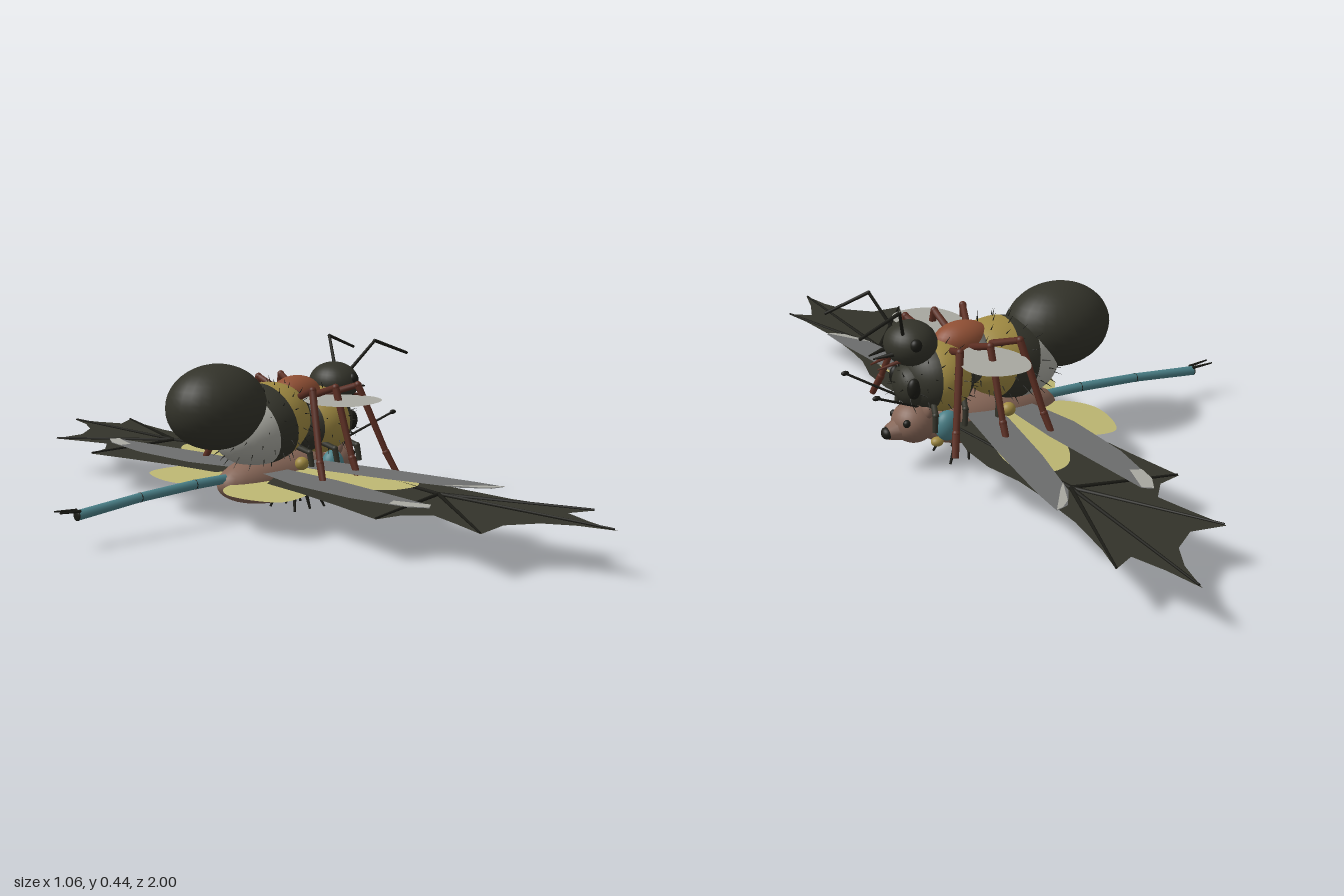
import * as THREE from 'three';

const mat = (name, color, double) => {
  const m = new THREE.MeshStandardMaterial({ color });
  m.name = name;
  if (double) m.side = THREE.DoubleSide;
  return m;
};

export function createModel() {
  const root = new THREE.Group();
  root.name = 'flyingCreatures';
  const dark = mat('dark olive', 0x33332a, true);
  const black = mat('black', 0x1a1a15);
  const gold = mat('gold', 0xa08a42);
  const cream = mat('pale yellow', 0xbdb672, true);
  const legBrown = mat('leg brown', 0x5c2e22);
  const rust = mat('rust', 0x8f4f34);
  const tan = mat('tan fur', 0x866657);
  const teal = mat('teal', 0x4b8189);
  const grey = mat('wing grey', 0x6c6d6d, true);
  const light = mat('light grey', 0xa9a9a1, true);

  const V = (p) => new THREE.Vector3(...p);
  const add = (name, geo, m) => {
    const mesh = new THREE.Mesh(geo, m);
    mesh.name = name;
    root.add(mesh);
    return mesh;
  };
  const ball = (name, p, r, m) => {
    const b = add(name, new THREE.SphereGeometry(1, 28, 20), m);
    b.position.set(...p);
    b.scale.set(...r);
    return b;
  };
  const rod = (name, a, b, r0, r1, m) => {
    const d = V(b).sub(V(a));
    const c = add(name, new THREE.CylinderGeometry(r1, r0, d.length(), 8), m);
    c.position.copy(V(a)).addScaledVector(d, 0.5);
    c.quaternion.setFromUnitVectors(new THREE.Vector3(0, 1, 0), d.normalize());
    return c;
  };
  const chain = (name, pts, r, m) => {
    for (let i = 1; i < pts.length; i++) {
      rod(name, pts[i - 1], pts[i], r, r * 0.85, m);
      if (i < pts.length - 1) ball(name + 'Joint', pts[i], [r, r, r], m);
    }
  };
  const flip = (p, s) => [p[0], p[1], p[2] * s];

  // All flat wings share a gentle slope from front to tail
  const wingY = (x, y) => y + 0.05 * (x - 0.2);
  const wing = (name, pts, y, s, m, rounded) => {
    let p = pts.map(([x, z]) => new THREE.Vector2(x, z));
    if (rounded) {
      const c = new THREE.CatmullRomCurve3(pts.map(([x, z]) => new THREE.Vector3(x, z, 0)), true);
      p = c.getPoints(40).slice(0, -1).map((q) => new THREE.Vector2(q.x, q.y));
    }
    const geo = new THREE.ShapeGeometry(new THREE.Shape(p));
    const pos = geo.attributes.position;
    for (let i = 0; i < pos.count; i++) {
      const x = pos.getX(i), z = pos.getY(i);
      pos.setXYZ(i, x, wingY(x, y), z * s);
    }
    geo.computeVertexNormals();
    add(name, geo, m);
  };

  // Ellipsoid cut into coloured bands along its long axis, with bristles
  const banded = (name, p, r, tilt, bands, hairs) => {
    const g = new THREE.Group();
    g.name = name;
    g.position.set(...p);
    g.rotation.z = tilt;
    let from = -1;
    for (const [to, m] of bands) {
      const t0 = Math.acos(-from), t1 = Math.acos(-to);
      const geo = new THREE.SphereGeometry(1, 32, 10, 0, Math.PI * 2, t0, t1 - t0);
      geo.rotateZ(Math.PI / 2);
      const mesh = new THREE.Mesh(geo, m);
      mesh.name = name + 'Band';
      mesh.scale.set(...r);
      g.add(mesh);
      from = to;
    }
    for (let i = 0; i < hairs; i++) {
      const x = 1 - (2 * (i + 0.5)) / hairs, q = Math.sqrt(1 - x * x), a = i * 2.39996;
      const u = new THREE.Vector3(x, q * Math.cos(a), q * Math.sin(a));
      const n = u.clone().divide(V(r)).normalize();
      const h = new THREE.Mesh(new THREE.ConeGeometry(0.0022, 0.03, 4), black);
      h.name = 'bristle';
      h.position.copy(u.multiply(V(r))).addScaledVector(n, 0.006);
      h.quaternion.setFromUnitVectors(new THREE.Vector3(0, 1, 0), n.add(new THREE.Vector3(-0.4, 0, 0)).normalize());
      g.add(h);
    }
    root.add(g);
  };

  // Ant on top
  ball('antAbdomen', [-0.05, 0.293, 0], [0.138, 0.107, 0.11], dark);
  ball('antWaist', [0.12, 0.295, 0], [0.045, 0.04, 0.03], rust);
  ball('antThorax', [0.22, 0.303, 0], [0.075, 0.046, 0.05], rust);
  ball('antHead', [0.357, 0.32, 0], [0.064, 0.054, 0.068], dark);

  // Bee in the middle
  banded('beeAbdomen', [0.1, 0.235, 0], [0.14, 0.102, 0.112], 0.25,
    [[-0.25, light], [0.18, dark], [0.7, gold], [1, dark]], 120);
  banded('beeThorax', [0.29, 0.228, 0], [0.09, 0.09, 0.105], 0.1,
    [[-0.55, dark], [0.35, gold], [1, dark]], 90);
  banded('beeHead', [0.36, 0.215, 0], [0.042, 0.052, 0.06], 0, [[1, dark]], 30);

  // Furry body underneath
  const body = ball('batBody', [0.155, 0.095, 0], [0.195, 0.068, 0.075], tan);
  body.rotation.z = 0.03;
  ball('batHead', [0.355, 0.116, 0], [0.055, 0.052, 0.056], tan);
  rod('batSnout', [0.375, 0.107, 0], [0.425, 0.1, 0], 0.038, 0.019, tan);
  ball('batNose', [0.427, 0.1, 0], [0.014, 0.015, 0.018], black);

  // Damselfly tail
  const tail = [[0.05, 0.012], [-0.12, 0.0125], [-0.29, 0.012], [-0.475, 0.013]];
  for (let i = 1; i < tail.length; i++) {
    const [x0, r0] = tail[i - 1], [x1, r1] = tail[i];
    const y = (x) => 0.108 - 0.12 * x * x + 0.002 * (x / 0.475);
    rod('tailSegment', [x0, y(x0), 0], [x1, y(x1), 0], r0, r1, teal);
    ball('tailJoint', [x1, y(x1), 0], [0.004, r1, r1], black);
  }

  const batWing = [[0.12, 0.04], [0.03, 0.1], [0.015, 0.23], [-0.015, 0.4], [-0.045, 0.545],
    [0.02, 0.565], [0.065, 0.62], [0.04, 0.71], [0.012, 0.8], [0.1, 0.79], [0.165, 0.84],
    [0.2, 0.91], [0.222, 1], [0.245, 0.91], [0.275, 0.83], [0.332, 0.862], [0.312, 0.78],
    [0.295, 0.65], [0.295, 0.5], [0.3, 0.42], [0.325, 0.32], [0.325, 0.22], [0.3, 0.1], [0.28, 0.04]];
  const foreWing = [[0.2, 0.04], [0.26, 0.22], [0.278, 0.36], [0.235, 0.415], [0.17, 0.405], [0.12, 0.34], [0.08, 0.2], [0.1, 0.05]];
  const hindWing = [[0.12, 0.03], [0.1, 0.2], [0.02, 0.25], [-0.06, 0.255], [-0.092, 0.2], [-0.1, 0.1], [-0.06, 0.04], [0, 0.02]];

  for (const s of [1, -1]) {
    // Wings, from the lowest layer to the highest
    wing('batWing', batWing, 0.112, s, dark);
    for (const [x, z] of [[0.222, 0.99], [0.015, 0.795], [-0.042, 0.543], [0.33, 0.86], [0.29, 0.05]])
      rod('wingFinger', [0.215, wingY(0.215, 0.114), 0.5 * s], [x, wingY(x, 0.114), z * s], 0.005, 0.0025, black);
    wing('butterflyForewing', foreWing, 0.118, s, cream, true);
    wing('butterflyHindwing', hindWing, 0.107, s, cream, true);
    wing('damselflyHindwing', [[0.13, 0.03], [0.125, 0.25], [0.088, 0.59], [0.065, 0.605], [0.04, 0.56], [0.017, 0.4], [0.022, 0.2], [0.06, 0.04]], 0.126, s, grey);
    wing('hindwingTip', [[0.088, 0.59], [0.065, 0.605], [0.04, 0.56], [0.033, 0.51], [0.06, 0.5]], 0.128, s, light);
    wing('damselflyForewing', [[0.17, 0.03], [0.16, 0.12], [0.2, 0.35], [0.245, 0.54], [0.285, 0.602], [0.32, 0.615], [0.315, 0.53], [0.285, 0.3], [0.24, 0.03]], 0.13, s, grey);
    wing('forewingTip', [[0.32, 0.615], [0.3, 0.608], [0.275, 0.585], [0.235, 0.5], [0.26, 0.53]], 0.132, s, light);
    wing('beeWing', [[0.21, 0.05], [0.15, 0.11], [0.14, 0.18], [0.17, 0.245], [0.225, 0.262], [0.285, 0.245], [0.31, 0.19], [0.28, 0.1]], 0.3, s, light, true);

    // Ant legs, face and feelers
    const legs = [[0.18, 0.14, 0.1], [0.22, 0.22, 0.222], [0.27, 0.3, 0.36]];
    for (const [hip, knee, foot] of legs)
      chain('antLeg', [[hip, 0.295, 0.04 * s], [knee, 0.332, 0.145 * s],
        [knee + (foot - knee) * 0.75, 0.16, 0.205 * s], [foot, 0.11, 0.228 * s]], 0.0095, legBrown);
    ball('antEye', [0.37, 0.333, 0.058 * s], [0.015, 0.016, 0.014], black);
    chain('antAntenna', [[0.39, 0.355, 0.03 * s], [0.422, 0.432, 0.085 * s], [0.53, 0.393, 0.1 * s]], 0.0045, black);
    rod('antMandible', [0.4, 0.31, 0.025 * s], [0.46, 0.302, 0.012 * s], 0.007, 0.002, black);
    rod('antLowerMandible', [0.39, 0.29, 0.025 * s], [0.453, 0.276, 0.02 * s], 0.006, 0.002, legBrown);

    // Bee legs and pollen loads
    for (const x of [0.16, 0.25, 0.33])
      chain('beeLeg', [[x, 0.18, 0.06 * s], [x + 0.015, 0.165, 0.1 * s], [x + 0.02, 0.125, 0.105 * s]], 0.008, dark);
    ball('pollen', [0.148, 0.14, 0.1 * s], [0.018, 0.017, 0.017], gold);
    ball('beeEye', [0.375, 0.222, 0.05 * s], [0.017, 0.026, 0.014], black);

    // Damselfly eyes and tail claspers
    ball('damselflyEye', [0.295, 0.115, 0.062 * s], [0.032, 0.038, 0.026], teal);
    ball('cheek', [0.315, 0.07, 0.045 * s], [0.016, 0.012, 0.014], gold);
    rod('clasper', [-0.47, 0.09, 0.007 * s], [-0.53, 0.094, 0.012 * s], 0.004, 0.002, black);

    // Small lower legs, eyes, ears and clubbed feelers
    ball('batEye', [0.39, 0.13, 0.037 * s], [0.01, 0.01, 0.009], black);
    ball('batEar', [0.335, 0.155, 0.038 * s], [0.012, 0.022, 0.018], tan);
    for (const [x, dx] of [[0.185, -0.01], [0.225, 0.005], [0.262, 0.02]])
      rod('smallLeg', [x, 0.045, 0.035 * s], [x + dx, 0.002, 0.046 * s], 0.005, 0.003, black);
    const knob = flip([0.49, 0.237, 0.09], s);
    rod('clubFeeler', flip([0.35, 0.16, 0.02], s), knob, 0.003, 0.003, black);
    ball('feelerClub', knob, [0.01, 0.006, 0.006], black);
  }
  return root;
}
